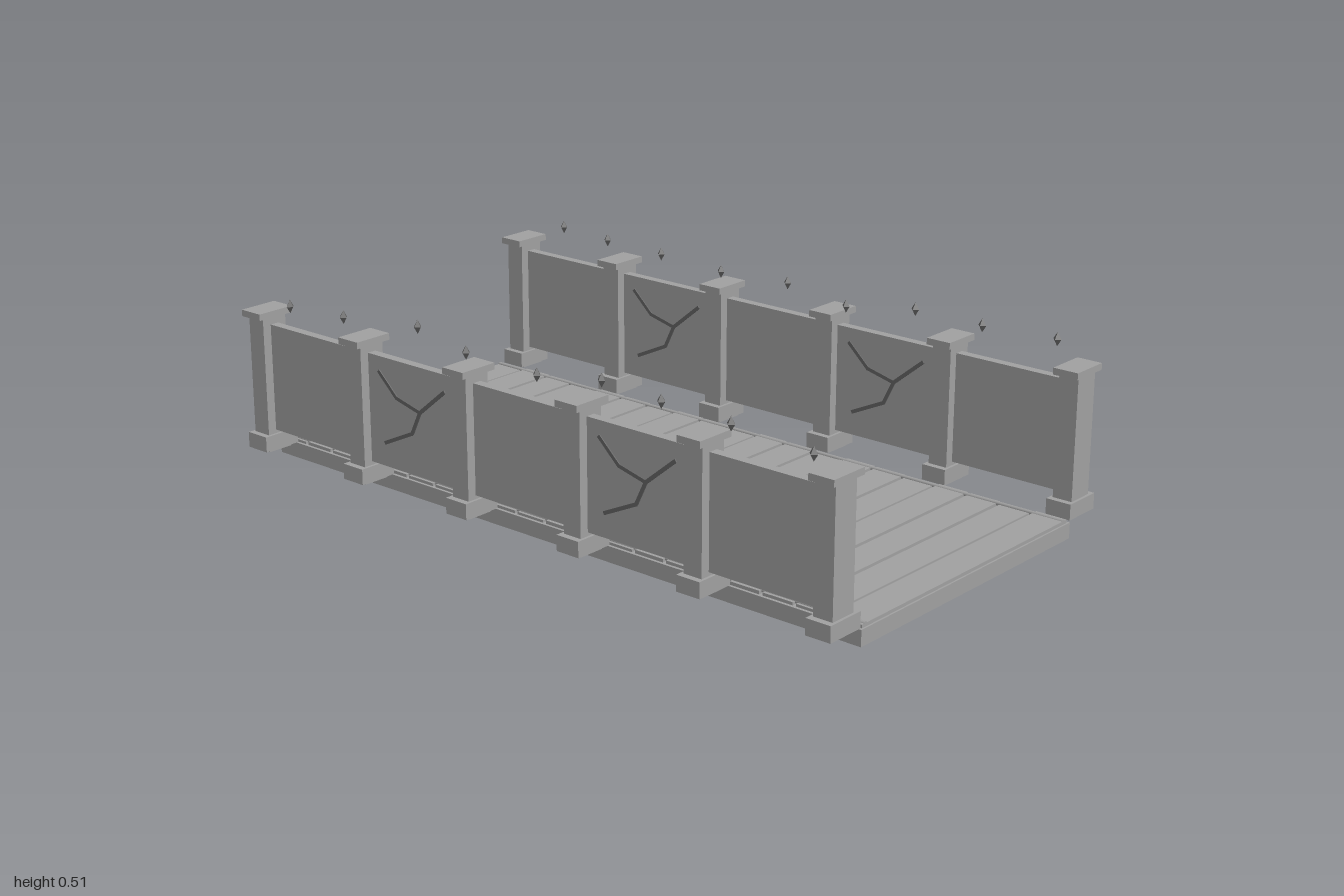
import * as THREE from 'three';

export function createModel() {
  const model = new THREE.Group();
  const stone = new THREE.MeshStandardMaterial({ color: 0xa0a0a0 });
  stone.name = 'stone grey';
  const dark = new THREE.MeshStandardMaterial({ color: 0x646464 });
  dark.name = 'dark grey';

  function add(parent, name, geometry, material, x, y, z) {
    const mesh = new THREE.Mesh(geometry, material);
    mesh.name = name;
    mesh.position.set(x, y, z);
    parent.add(mesh);
    return mesh;
  }
  // Box given by its sizes, centre x and z, and bottom y
  const box = (parent, name, w, h, d, x, y, z) =>
    add(parent, name, new THREE.BoxGeometry(w, h, d), stone, x, y + h / 2, z);

  // Deck slab with crosswise planks and edge rods
  const deck = new THREE.Group();
  deck.name = 'deck';
  model.add(deck);
  box(deck, 'deckSlab', 0.884, 0.043, 2, 0, 0, 0);
  for (let i = 0; i < 20; i++) {
    const lift = [0, 0.002, 0.001][i % 3];
    box(deck, 'plank', 0.868, 0.007 + lift, 0.09, 0, 0.043, -0.95 + i * 0.1);
  }
  const rod = new THREE.CylinderGeometry(0.006, 0.006, 1.99, 8).rotateX(Math.PI / 2);
  for (const s of [-1, 1]) add(deck, 'edgeRod', rod, stone, s * 0.42, 0.05, 0);

  // Crack path in (z, y), relative to the panel centre: a main line and a branch
  const cracks = [
    [[0.117, 0.353], [0.026, 0.278], [-0.005, 0.214], [-0.107, 0.166]],
    [[0.026, 0.278], [-0.06, 0.299], [-0.123, 0.358]],
  ];
  function addCrack(parent, x, zc) {
    for (const path of cracks) {
      for (let i = 1; i < path.length; i++) {
        const [z0, y0] = path[i - 1], [z1, y1] = path[i];
        const length = Math.hypot(z1 - z0, y1 - y0) + 0.006;
        const bar = add(parent, 'crack', new THREE.BoxGeometry(0.032, 0.01, length), dark,
          x, (y0 + y1) / 2, zc + (z0 + z1) / 2);
        bar.rotation.x = -Math.atan2(y1 - y0, z1 - z0);
      }
    }
  }

  // Parapets: posts with base and cap, panels between them
  const postZ = [-0.962, -0.578, -0.193, 0.193, 0.578, 0.962];
  for (const s of [-1, 1]) {
    const parapet = new THREE.Group();
    parapet.name = s > 0 ? 'leftParapet' : 'rightParapet';
    model.add(parapet);
    const x = s * 0.5;
    postZ.forEach((z, i) => {
      box(parapet, 'postBase', 0.113, 0.043, 0.072, x, 0.047, z);
      box(parapet, 'postShaft', 0.078, 0.382, 0.056, x, 0.041, z);
      box(parapet, 'postCap', 0.113, 0.018, 0.072, x, 0.421, z);
      if (i === 5) return;
      const zc = (z + postZ[i + 1]) / 2;
      box(parapet, 'panel', 0.026, 0.3, 0.335, x, 0.1, zc);
      if (i === 1 || i === 3) addCrack(parapet, x, zc);
    });
  }

  // Small floating crystals above the parapets: z, then x and y on each side
  const crystal = new THREE.OctahedronGeometry(1).scale(0.012, 0.019, 0.012);
  const spots = [
    [-0.83, -0.53, 0.475, 0.535, 0.482], [-0.62, -0.53, 0.487, 0.495, 0.487],
    [-0.4, -0.475, 0.492, 0.478, 0.488], [-0.19, -0.51, 0.475, 0.49, 0.473],
    [0.03, -0.485, 0.457, 0.51, 0.477], [0.245, -0.485, 0.49, 0.49, 0.457],
    [0.46, -0.515, 0.492, 0.505, 0.487], [0.675, -0.52, 0.487, 0.498, 0.487],
    [0.89, -0.49, 0.457, 0.515, 0.49],
  ];
  for (const [z, xa, ya, xb, yb] of spots) {
    add(model, 'crystal', crystal, dark, xa, ya, z);
    add(model, 'crystal', crystal, dark, xb, yb, z);
  }
  return model;
}
